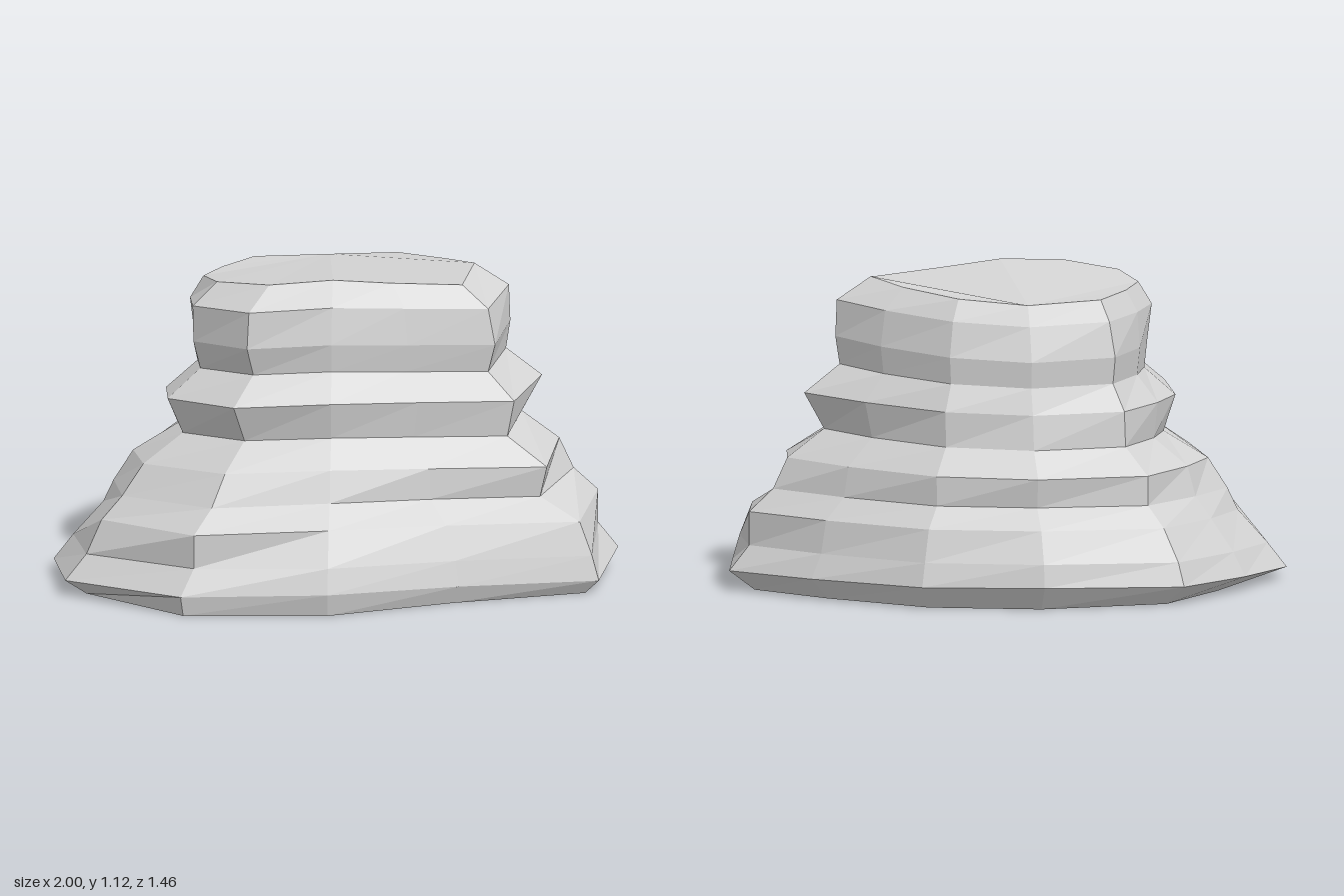
import * as THREE from 'three';

// Widest outline of the rock, running from +x through +z, -x and -z
const foot = [[1, -0.03], [0.92, 0.4], [0.42, 0.54], [-0.05, 0.725], [-0.57, 0.7], [-0.97, 0.37],
  [-1, -0.03], [-0.8, -0.35], [-0.53, -0.67], [-0.02, -0.73], [0.4, -0.61], [0.75, -0.31]];
// Size of the crown compared with the foot, at each corner
const taper = [0.49, 0.48, 0.45, 0.38, 0.43, 0.44, 0.47, 0.5, 0.53, 0.56, 0.57, 0.53];
// Heights of the ledges and the hollows between them
const heights = [0, 0.07, 0.16, 0.28, 0.36, 0.47, 0.57, 0.7, 0.8, 0.9, 1.03, 1.11];

// Side profiles (0 = crown, 1 = foot), with how far the ledges lift there and tilt towards the crown
const profiles = [
  { col: 0, lift: 0, tilt: 0, spread: [0.82, 1, 0.86, 0.86, 0.69, 0.59, 0.33, 0.47, 0.22, 0.25, 0.24, 0] },
  { col: 1, lift: -0.02, tilt: -0.01, spread: [0.9, 1, 0.95, 0.86, 0.57, 0.62, 0.33, 0.38, 0.19, 0.24, 0.19, 0] },
  { col: 3, lift: 0.01, tilt: 0, spread: [0.95, 1, 0.94, 0.77, 0.59, 0.5, 0.33, 0.4, 0.22, 0.25, 0.2, 0] },
  { col: 4, lift: 0, tilt: 0, spread: [0.97, 1, 0.85, 0.85, 0.65, 0.5, 0.28, 0.4, 0.18, 0.25, 0.23, 0] },
  { col: 6, lift: -0.03, tilt: -0.01, spread: [0.75, 1, 0.87, 0.67, 0.6, 0.47, 0.17, 0.25, 0.04, 0.06, 0.09, 0] },
  { col: 9, lift: 0.02, tilt: -0.08, spread: [0.81, 1, 0.96, 0.8, 0.55, 0.61, 0.36, 0.3, 0.2, 0.23, 0.11, 0] },
];
const COLS = foot.length;
const LEVELS = heights.length;

// Point on the rock, blending the profiles on either side of a corner
function rockPoint(level, col) {
  const k = profiles.findLastIndex((p) => p.col <= col);
  const a = profiles[k];
  const b = profiles[(k + 1) % profiles.length];
  const t = (col - a.col) / ((b.col - a.col + COLS) % COLS);
  const blend = (read) => THREE.MathUtils.lerp(read(a), read(b), t);
  const y = heights[level] + blend((p) => p.lift + (p.tilt * level) / (LEVELS - 1));
  const size = THREE.MathUtils.lerp(taper[col], 1, blend((p) => p.spread[level]));
  const [x, z] = foot[col];
  return [x * size, level === 0 ? 0 : y, z * size];
}

function meshFrom(name, points, index, material) {
  const indexed = new THREE.BufferGeometry();
  indexed.setAttribute('position', new THREE.Float32BufferAttribute(points.flat(), 3));
  indexed.setIndex(index);
  const geometry = indexed.toNonIndexed();
  geometry.computeVertexNormals();
  const mesh = new THREE.Mesh(geometry, material);
  mesh.name = name;
  return mesh;
}

export function createModel() {
  const stone = new THREE.MeshStandardMaterial({ color: 0xd4d4d4, flatShading: true });
  stone.name = 'stone grey';

  const points = [];
  for (let l = 0; l < LEVELS; l++) {
    for (let c = 0; c < COLS; c++) points.push(rockPoint(l, c));
  }

  // Stepped sides
  const sides = [];
  for (let l = 0; l < LEVELS - 1; l++) {
    for (let c = 0; c < COLS; c++) {
      const a = l * COLS + c;
      const b = l * COLS + ((c + 1) % COLS);
      sides.push(a, a + COLS, b, b, a + COLS, b + COLS);
    }
  }

  // Crown and underside, each a fan from the back corner
  const top = [];
  const bottom = [];
  const back = 9;
  const rim = (LEVELS - 1) * COLS;
  for (let i = 1; i < COLS - 1; i++) {
    const p = (back + i) % COLS;
    const q = (back + i + 1) % COLS;
    top.push(rim + back, rim + q, rim + p);
    bottom.push(back, p, q);
  }

  const rock = new THREE.Group();
  rock.name = 'rock';
  rock.add(
    meshFrom('rockSides', points, sides, stone),
    meshFrom('rockTop', points, top, stone),
    meshFrom('rockUnderside', points, bottom, stone),
  );
  return rock;
}
